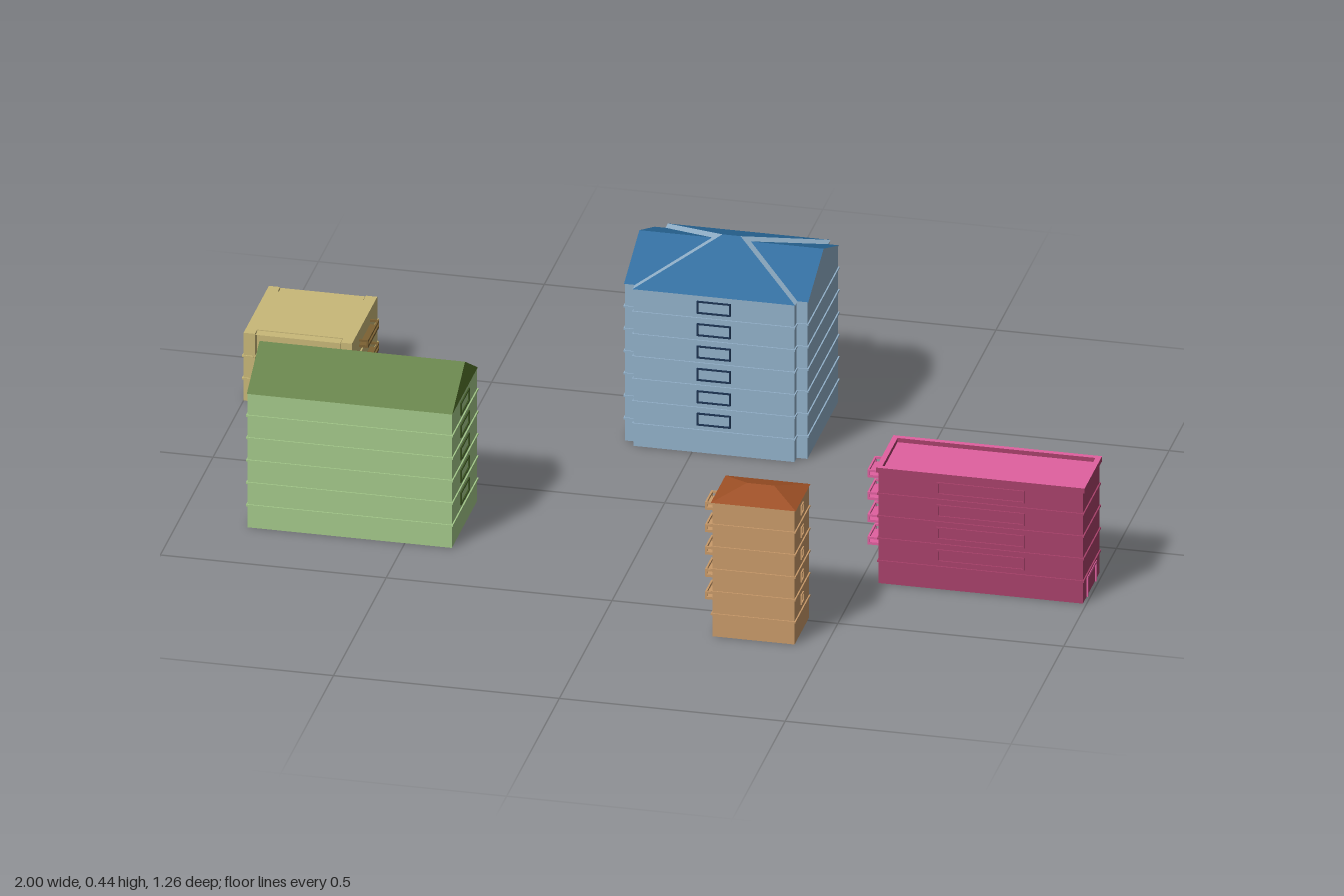
import * as THREE from 'three';

const FLOOR = 0.0535;
const TURN = { front: 0, left: Math.PI / 2, back: Math.PI, right: -Math.PI / 2 };
const paint = (color) => new THREE.MeshStandardMaterial({ color, flatShading: true });

function add(parent, name, geometry, material, x = 0, y = 0, z = 0) {
  const mesh = new THREE.Mesh(geometry, material);
  mesh.name = name;
  mesh.position.set(x, y, z);
  parent.add(mesh);
  return mesh;
}

const rect = (w, d) => [[-w / 2, -d / 2], [w / 2, -d / 2], [w / 2, d / 2], [-w / 2, d / 2]];

// grow a centred outline by a margin on every side
function grow(points, m) {
  const w = Math.max(...points.map((p) => p[0])), d = Math.max(...points.map((p) => p[1]));
  return points.map(([x, y]) => [x * (w + m) / w, y * (d + m) / d]);
}

// extruded outline with an optional hole
function slab(points, depth, hole) {
  const vec = (list) => list.map(([x, y]) => new THREE.Vector2(x, y));
  const shape = new THREE.Shape(vec(points));
  if (hole) shape.holes.push(new THREE.Path(vec(hole)));
  return new THREE.ExtrudeGeometry(shape, { depth, bevelEnabled: false });
}
const upright = (geometry) => geometry.rotateX(-Math.PI / 2);

// hipped roof; a ridge as long as the width gives a plain gable
function addRoof(parent, name, y, w, d, h, ridge, slopeMat, endMat) {
  const c = rect(w, d).map(([x, z]) => [x, 0, z]);
  const a = [-ridge / 2, h, 0], b = [ridge / 2, h, 0];
  const make = (triangles) => {
    const g = new THREE.BufferGeometry();
    g.setAttribute('position', new THREE.Float32BufferAttribute(triangles.flat(2), 3));
    g.computeVertexNormals();
    return g;
  };
  add(parent, name + 'Slopes', make([
    [c[3], c[2], b], [c[3], b, a],
    [c[1], c[0], a], [c[1], a, b],
    [c[0], c[1], c[2]], [c[0], c[2], c[3]],
  ]), slopeMat, 0, y);
  add(parent, name + 'Ends', make([[c[2], c[1], b], [c[0], c[3], a]]), endMat, 0, y);
}

// group whose local +z points out of the chosen side
function facade(parent, name, side, distance) {
  const pivot = new THREE.Group(), face = new THREE.Group();
  pivot.rotation.y = TURN[side];
  face.position.z = distance;
  face.name = name;
  pivot.add(face);
  parent.add(pivot);
  return face;
}

function addWindows(face, count, w, h, frameMat, round) {
  for (let i = 1; i <= count; i++) {
    const y = (i + 0.5) * FLOOR;
    if (round) {
      add(face, 'roundWindow', new THREE.TorusGeometry(w / 2, 0.003, 6, 20), frameMat, 0, y, 0.001);
      continue;
    }
    add(face, 'windowFrame', slab(rect(w, h), 0.003, rect(w - 0.007, h - 0.007)), frameMat, 0, y, 0);
  }
}

// open balconies: floor plate, handrail and corner posts
function addBalconies(face, count, w, depth, mat) {
  for (let i = 1; i <= count; i++) {
    const b = new THREE.Group();
    b.name = 'balcony';
    b.position.set(0, (i + 0.34) * FLOOR, depth / 2);
    add(b, 'balconyFloor', new THREE.BoxGeometry(w, 0.006, depth), mat);
    add(b, 'frontRail', new THREE.BoxGeometry(w, 0.005, 0.004), mat, 0, 0.013, depth / 2 - 0.002);
    for (const s of [-1, 1]) {
      add(b, 'sideRail', new THREE.BoxGeometry(0.004, 0.005, depth), mat, s * (w / 2 - 0.002), 0.013, 0);
      add(b, 'post', new THREE.BoxGeometry(0.004, 0.016, 0.004), mat, s * (w / 2 - 0.002), 0.006, depth / 2 - 0.002);
    }
    face.add(b);
  }
}

function addDoor(face, w, h, mat, filled) {
  const t = 0.006, a = w / 2, b = a - t;
  const outline = filled ? [[-a, 0], [a, 0], [a, h], [-a, h]]
    : [[-a, 0], [-b, 0], [-b, h - t], [b, h - t], [b, 0], [a, 0], [a, h], [-a, h]];
  add(face, 'door', slab(outline, 0.003), mat);
}

// hollow walls with a thin ledge at each storey
function addBuilding(parent, name, x, z, plan, height, floors, wallMat) {
  const g = new THREE.Group();
  g.name = name;
  g.position.set(x, 0, z);
  add(g, 'walls', upright(slab(plan, height, grow(plan, -0.002))), wallMat);
  for (let i = 1; i < floors; i++) {
    add(g, 'storeyLedge', upright(slab(grow(plan, 0.003), 0.004, plan)), wallMat, 0, i * FLOOR - 0.002);
  }
  parent.add(g);
  return g;
}

export function createModel() {
  const model = new THREE.Group();
  model.name = 'buildingCluster';

  // green gabled block
  const greenRoof = paint(0x55762c), greenDark = paint(0x3c5522);
  const green = addBuilding(model, 'greenHouse', -0.622, 0.204, rect(0.452, 0.238), 0.32, 6, paint(0xa4c98a));
  addRoof(green, 'roof', 0.32, 0.455, 0.242, 0.07, 0.455, greenRoof, greenRoof);
  addWindows(facade(green, 'windowSide', 'left', 0.226), 5, 0.08, 0.03, greenDark);
  addBalconies(facade(green, 'balconySide', 'back', 0.119), 5, 0.105, 0.022, greenDark);
  addDoor(facade(green, 'doorSide', 'right', 0.226), 0.06, 0.045, greenRoof);

  // blue block with notched corners and two crossing roofs
  const blueWall = paint(0x92b1ca), blueRoof = paint(0x2a6b9d), navy = paint(0x1b3352);
  const [ox, oz, ix, iz] = [0.202, 0.167, 0.178, 0.145];
  const bluePlan = [
    [-ix, -oz], [ix, -oz], [ix, -iz], [ox, -iz], [ox, iz], [ix, iz],
    [ix, oz], [-ix, oz], [-ix, iz], [-ox, iz], [-ox, -iz], [-ix, -iz],
  ];
  const blue = addBuilding(model, 'blueHouse', 0.048, -0.428, bluePlan, 0.375, 7, blueWall);
  addRoof(blue, 'longRoof', 0.375, 0.408, 0.292, 0.06, 0.408, blueRoof, blueWall);
  addRoof(blue, 'crossRoof', 0.375, 0.36, 0.336, 0.07, 0.04, blueRoof, blueWall);
  addWindows(facade(blue, 'windowSide', 'front', oz), 6, 0.075, 0.03, navy);
  addBalconies(facade(blue, 'balconySide', 'back', oz), 6, 0.14, 0.035, navy);
  addDoor(facade(blue, 'doorSide', 'right', ox), 0.09, 0.045, blueRoof, true);

  // pink block with a flat roof behind a parapet
  const pinkWall = paint(0xa8416a), pinkRoof = paint(0xe0609f);
  const pink = addBuilding(model, 'pinkHouse', 0.766, 0.206, rect(0.452, 0.156), 0.268, 5, pinkWall);
  add(pink, 'flatRoof', upright(slab(rect(0.452, 0.156), 0.002)), pinkRoof, 0, 0.266);
  add(pink, 'parapet', upright(slab(rect(0.462, 0.166), 0.012, rect(0.438, 0.142))), [pinkRoof, pinkWall], 0, 0.266);
  addWindows(facade(pink, 'windowSide', 'front', 0.078), 4, 0.195, 0.03, pinkWall);
  addBalconies(facade(pink, 'balconySide', 'right', 0.226), 4, 0.07, 0.035, pinkRoof);
  addDoor(facade(pink, 'doorSide', 'left', 0.226), 0.085, 0.048, pinkRoof);

  // orange tower with a low hipped roof
  const orangeWall = paint(0xc99a69), orangeRoof = paint(0x9e5025);
  const orange = addBuilding(model, 'orangeTower', 0.342, 0.556, rect(0.182, 0.135), 0.32, 6, orangeWall);
  addRoof(orange, 'roof', 0.32, 0.188, 0.14, 0.022, 0.06, orangeRoof, orangeRoof);
  addWindows(facade(orange, 'windowSide', 'left', 0.091), 5, 0.023, 0.023, orangeWall);
  addBalconies(facade(orange, 'balconySide', 'right', 0.091), 5, 0.06, 0.025, orangeWall);
  addDoor(facade(orange, 'doorSide', 'back', 0.0675), 0.03, 0.045, orangeRoof);

  // low tan block with wider end walls
  const tan = paint(0xc9b878), tanDark = paint(0x7d6233);
  const tanPlan = [
    [-0.12, -0.12], [-0.095, -0.12], [-0.095, -0.098], [0.095, -0.098], [0.095, -0.12], [0.12, -0.12],
    [0.12, 0.12], [0.095, 0.12], [0.095, 0.098], [-0.095, 0.098], [-0.095, 0.12], [-0.12, 0.12],
  ];
  const low = addBuilding(model, 'tanHouse', -0.88, -0.41, tanPlan, 0.16, 3, tan);
  add(low, 'flatRoof', upright(slab(tanPlan, 0.003)), tan, 0, 0.159);
  addWindows(facade(low, 'windowSide', 'back', 0.098), 2, 0.032, 0.032, tan, true);
  addBalconies(facade(low, 'balconySide', 'left', 0.12), 2, 0.105, 0.02, tanDark);
  addDoor(facade(low, 'doorSide', 'right', 0.12), 0.06, 0.045, tan);

  return model;
}
